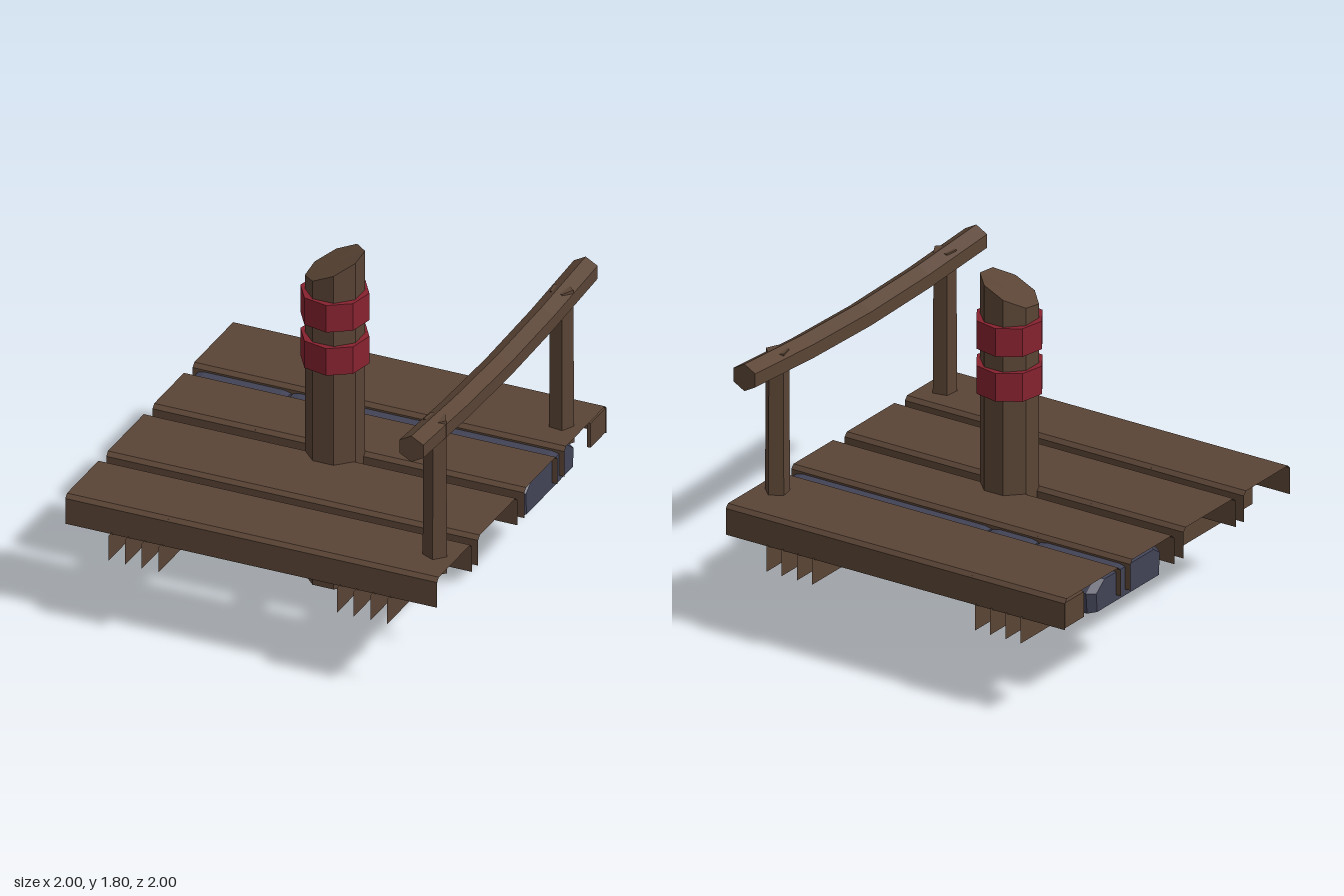
import * as THREE from 'three';

const wood = new THREE.MeshStandardMaterial({ color: 0x5a4435, flatShading: true, side: THREE.DoubleSide });
wood.name = 'wood';
const red = new THREE.MeshStandardMaterial({ color: 0x86222f, flatShading: true });
red.name = 'red band';
const blue = new THREE.MeshStandardMaterial({ color: 0x414356, flatShading: true });
blue.name = 'blue grey';

// Joins a row of cross-sections (arrays of [x, y, z]) into a skin; optional closed ring and end caps
function loft(sections, closed, caps) {
  const pos = [];
  const tri = (a, b, c) => pos.push(...a, ...b, ...c);
  const n = sections[0].length;
  for (let s = 0; s < sections.length - 1; s++) {
    const A = sections[s], B = sections[s + 1];
    for (let i = 0; i < (closed ? n : n - 1); i++) {
      const j = (i + 1) % n;
      tri(A[i], B[i], B[j]);
      tri(A[i], B[j], A[j]);
    }
  }
  if (caps) {
    const F = sections[0], L = sections[sections.length - 1];
    for (let i = 1; i < n - 1; i++) {
      tri(F[0], F[i], F[i + 1]);
      tri(L[0], L[i + 1], L[i]);
    }
  }
  const g = new THREE.BufferGeometry();
  g.setAttribute('position', new THREE.Float32BufferAttribute(pos, 3));
  g.computeVertexNormals();
  return g;
}

export function createModel() {
  const model = new THREE.Group();
  model.name = 'dock';
  const add = (name, geo, mat, x = 0, y = 0, z = 0) => {
    const m = new THREE.Mesh(geo, mat);
    m.name = name;
    m.position.set(x, y, z);
    model.add(m);
    return m;
  };

  // Hollow deck planks with bevelled long edges, open ends and an inner rib
  const planks = [[-0.985, -0.5], [-0.42, -0.04], [0.04, 0.49], [0.56, 0.96]];
  for (const [back, front] of planks) {
    const profile = [
      [front, 0.53], [front, 0.67], [front - 0.02, 0.69],
      [back + 0.02, 0.69], [back, 0.67], [back, 0.53],
    ];
    const at = x => profile.map(([z, y]) => [x, y, z]);
    add('deckPlank', loft([at(-1), at(1)], false, false), wood);
    const w = front - back - 0.01;
    add('plankRib', new THREE.PlaneGeometry(w, 0.145), wood, -0.45, 0.607, (front + back) / 2)
      .rotation.y = Math.PI / 2;
  }
  // Closed outer corners of the rear plank
  for (const s of [-1, 1]) {
    add('plankEnd', new THREE.BoxGeometry(0.02, 0.135, 0.17), wood, s * 0.985, 0.603, -0.895);
  }

  // Thin boards standing on edge under the deck, in two groups
  for (const s of [-1, 1]) {
    for (let i = 0; i < 4; i++) {
      const b = add('joistBoard', new THREE.PlaneGeometry(2, 0.14), wood, s * (0.48 + i * 0.09), 0.47, 0);
      b.rotation.y = Math.PI / 2;
    }
  }

  // Chamfered floats below the rear planks
  const floatProfile = [
    [-0.1, 0.49], [-0.69, 0.49], [-0.7, 0.6],
    [-0.62, 0.66], [-0.15, 0.66], [-0.09, 0.62],
  ];
  for (const [x0, x1] of [[-0.97, -0.47], [-0.46, -0.19], [-0.18, 0.97]]) {
    const at = (x, k) => floatProfile.map(([z, y]) => [x, 0.575 + (y - 0.575) * k, -0.4 + (z + 0.4) * k]);
    add('float', loft([at(x0, 0.9), at(x0 + 0.04, 1), at(x1 - 0.04, 1), at(x1, 0.9)].map(r => r.reverse()), true, true)
      , blue).geometry = floatGeometry(at, x0, x1);
  }

  // Mooring post with a slanted top
  const post = new THREE.CylinderGeometry(0.147, 0.147, 1, 8, 1, false, Math.PI / 8);
  const p = post.attributes.position;
  for (let i = 0; i < p.count; i++) {
    p.setY(i, p.getY(i) < 0 ? 0 : Math.min(1.805, 1.737 + 0.47 * p.getX(i) - 0.17 * p.getZ(i)));
  }
  post.computeVertexNormals();
  add('mooringPost', post, wood);

  // Painted bands round the post
  for (const y of [1.275, 1.515]) {
    add('postBand', new THREE.CylinderGeometry(0.173, 0.173, 0.15, 8, 1, false, 0.19), red, 0, y, 0);
  }

  // Sagging hexagonal handrail
  const rail = [[1, 1.405], [0.5, 1.375], [0, 1.363], [-0.5, 1.375], [-1, 1.405]].map(([z, y]) =>
    Array.from({ length: 6 }, (_, i) => {
      const a = i * Math.PI / 3;
      return [0.88 + 0.078 * Math.sin(a) * 0.95, y + 0.072 * Math.cos(a), z];
    }).reverse());
  add('handrail', loft(rail, true, true), wood);

  // Five-sided handrail posts
  for (const [z, turn] of [[0.73, 0.2], [-0.71, 0.5]]) {
    add('railPost', new THREE.CylinderGeometry(0.06, 0.065, 0.845, 5, 1, false, turn), wood, 0.885, 1.022, z);
  }
  return model;
}

// Float skin, wound so its faces look outward
function floatGeometry(at, x0, x1) {
  const rings = [at(x0, 0.9), at(x0 + 0.04, 1), at(x1 - 0.04, 1), at(x1, 0.9)];
  const g = loft(rings, true, true);
  const p = g.attributes.position;
  // Signed volume tells whether the corners need reversing
  let v = 0;
  const a = new THREE.Vector3(), b = new THREE.Vector3(), c = new THREE.Vector3();
  for (let i = 0; i < p.count; i += 3) {
    v += a.fromBufferAttribute(p, i).dot(b.fromBufferAttribute(p, i + 1).cross(c.fromBufferAttribute(p, i + 2)));
  }
  return v > 0 ? g : loft(rings.map(r => r.slice().reverse()), true, true);
}
